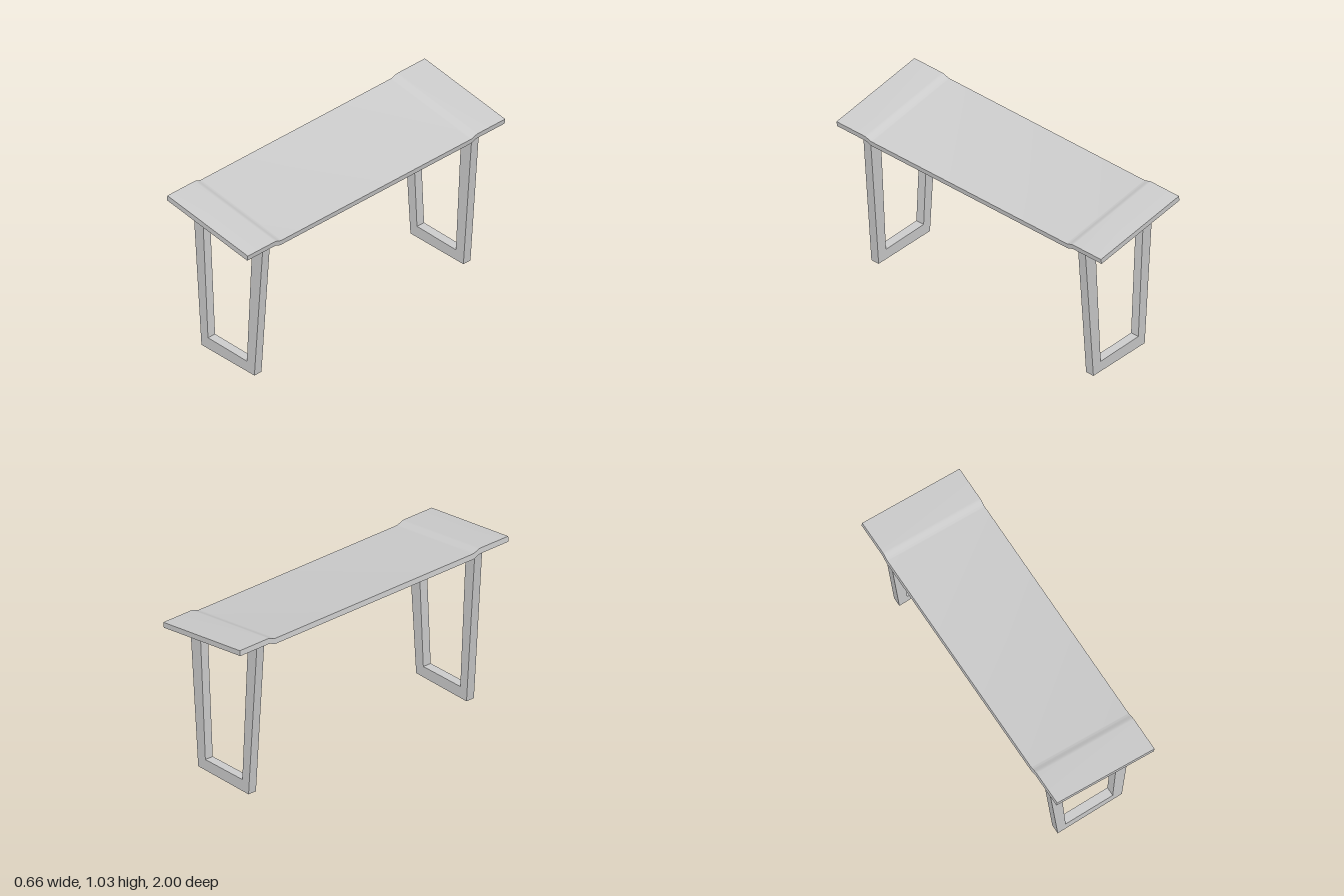
import * as THREE from 'three';
import { toCreasedNormals } from 'three/addons/utils/BufferGeometryUtils.js';

export function createModel() {
  const model = new THREE.Group();
  const material = new THREE.MeshStandardMaterial({ color: 0xcccccc });
  const add = (name, geometry) => {
    const mesh = new THREE.Mesh(geometry, material);
    mesh.name = name;
    model.add(mesh);
    return mesh;
  };

  // Sloping top: a sheet with raised ends, its long profile swept across the width
  const thickness = 0.033, drop = 0.016, width = 0.66, tilt = 0.141, steps = 8;
  const line = [[-1, 0]];
  for (let i = 0; i <= steps; i++) {
    const t = i / steps;
    line.push([-0.79 + 0.055 * t, -drop * t * t * (3 - 2 * t)]);
  }
  const upper = [...line, ...line.map(([z, y]) => [-z, y]).reverse()];
  const lower = upper.map(([z, y]) => [z, y - thickness]).reverse();
  const profile = new THREE.Shape([...upper, ...lower].map(([z, y]) => new THREE.Vector2(z, y)));
  const top = new THREE.ExtrudeGeometry(profile, { depth: width, bevelEnabled: false });
  top.rotateY(Math.PI / 2).rotateZ(-tilt).translate(-0.325, 1.03, 0);
  add('tableTop', toCreasedNormals(top, 0.6));

  // U-shaped leg frames, cut to the slope of the top
  const frame = new THREE.Shape([
    [-0.216, 0], [0.214, 0], [0.284, 0.912], [0.199, 0.924],
    [0.153, 0.068], [-0.163, 0.073], [-0.211, 0.981], [-0.288, 0.992],
  ].map(([x, y]) => new THREE.Vector2(x, y)));
  const legs = new THREE.ExtrudeGeometry(frame, { depth: 0.055, bevelEnabled: false });
  legs.translate(0, 0, -0.0275);
  add('frontLegFrame', legs).position.z = 0.812;
  add('backLegFrame', legs).position.z = -0.812;

  return model;
}
